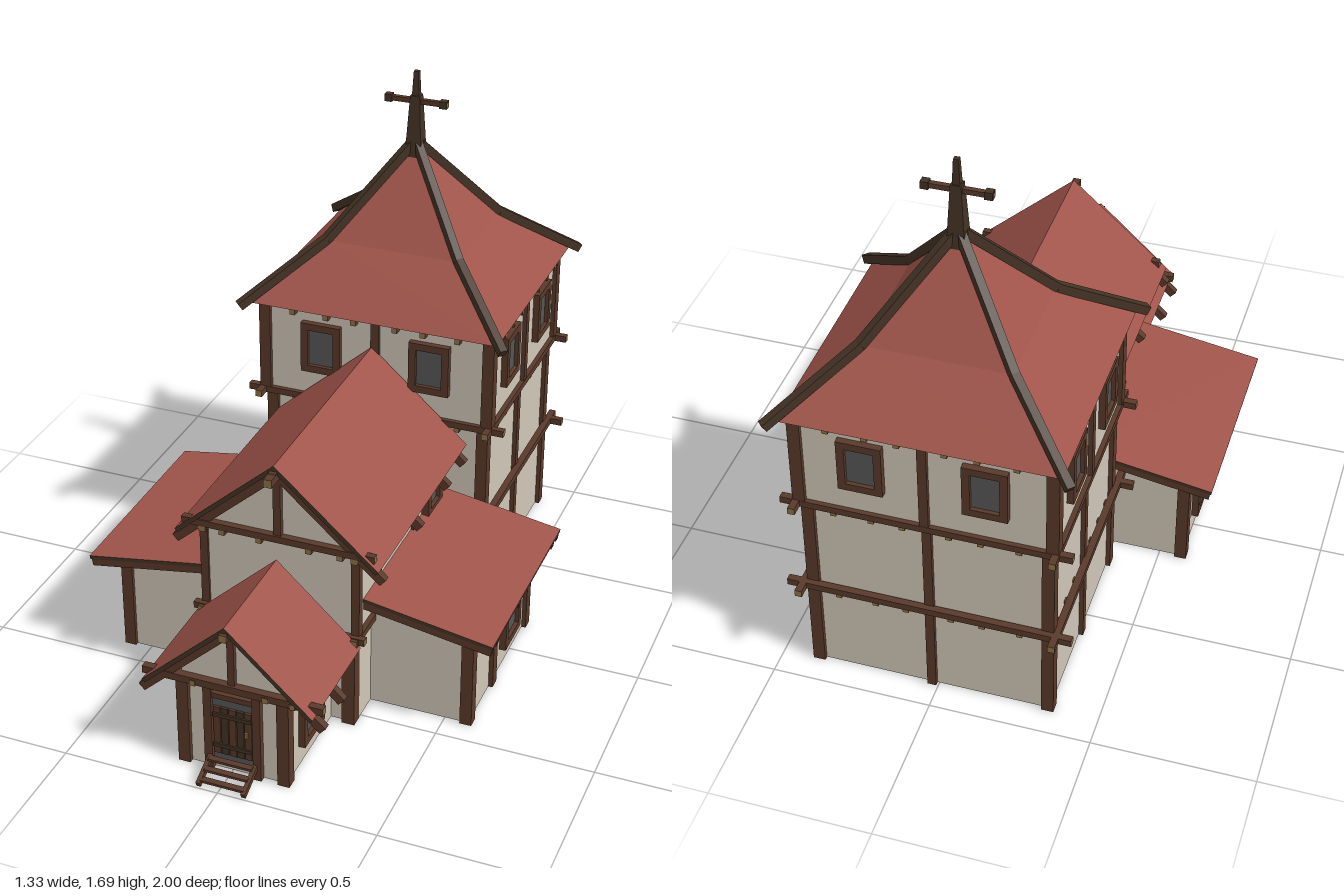
import * as THREE from 'three';

const mat = (name, color, side = THREE.FrontSide) => {
  const m = new THREE.MeshStandardMaterial({ color, side });
  m.name = name;
  return m;
};

export function createModel() {
  const plaster = mat('plaster', 0xd0c7b8, THREE.DoubleSide);
  const tile = mat('roof tile', 0xa0544a, THREE.DoubleSide);
  const wood = mat('timber', 0x5a3a2b);
  const dark = mat('dark timber', 0x443325);
  const endGrain = mat('end grain', 0x8f7346);
  const glass = mat('glass', 0x555756);
  const model = new THREE.Group();
  model.name = 'timberFramedChurch';

  const add = (name, geo, material, parent = model) => {
    const m = new THREE.Mesh(geo, material);
    m.name = name;
    parent.add(m);
    return m;
  };
  const box = (name, material, x, y, z, w, h, d, parent = model) => {
    const m = add(name, new THREE.BoxGeometry(w, h, d), material, parent);
    m.position.set(x, y, z);
    return m;
  };
  // Horizontal beams with pale sawn ends
  const beamX = (name, x0, x1, y, z, t = 0.022) => box(name,
    [endGrain, endGrain, wood, wood, wood, wood], (x0 + x1) / 2, y, z, x1 - x0, t, t);
  const beamZ = (name, z0, z1, y, x, t = 0.022) => box(name,
    [wood, wood, wood, wood, endGrain, endGrain], x, y, (z0 + z1) / 2, t, t, z1 - z0);
  const post = (x, z, y0, y1, t = 0.038) => box('post', wood, x, (y0 + y1) / 2, z, t, y1 - y0, t);
  // Beam between two points
  const bar = (name, a, b, w, h, material = wood) => {
    const p = new THREE.Vector3(...a), q = new THREE.Vector3(...b);
    const m = add(name, new THREE.BoxGeometry(w, h, p.distanceTo(q)), material);
    m.position.copy(p).lerp(q, 0.5);
    m.lookAt(q);
    return m;
  };
  // Walls extruded from a front outline, left open underneath
  const walls = (name, pts, z0, z1) => {
    const shape = new THREE.Shape(pts.map(p => new THREE.Vector2(...p)));
    const src = new THREE.ExtrudeGeometry(shape, { depth: z1 - z0, bevelEnabled: false });
    const pos = src.attributes.position, bottom = Math.min(...pts.map(p => p[1]));
    const keep = [];
    for (let i = 0; i < pos.count; i += 3) {
      if ([0, 1, 2].every(k => Math.abs(pos.getY(i + k) - bottom) < 1e-5)) continue;
      for (let k = 0; k < 3; k++) keep.push(pos.getX(i + k), pos.getY(i + k), pos.getZ(i + k) + z0);
    }
    const geo = new THREE.BufferGeometry();
    geo.setAttribute('position', new THREE.Float32BufferAttribute(keep, 3));
    geo.computeVertexNormals();
    return add(name, geo, plaster);
  };
  const rect = (x0, x1, y0, y1) => [[x0, y0], [x1, y0], [x1, y1], [x0, y1]];
  // Sloping roof plate, tiled on top and timber beneath; x0 < x1
  const slope = (name, x0, y0, x1, y1, z0, z1, t = 0.014) => {
    const a = Math.atan2(y1 - y0, x1 - x0);
    const m = box(name, [tile, tile, tile, wood, dark, dark],
      (x0 + x1) / 2 + Math.sin(a) * t / 2, (y0 + y1) / 2 - Math.cos(a) * t / 2, (z0 + z1) / 2,
      Math.hypot(x1 - x0, y1 - y0), t, z1 - z0);
    m.rotation.z = a;
    return m;
  };
  // Framed window facing +z before turning
  const windowAt = (x, y, z, turn, w = 0.135, h = 0.175) => {
    const g = new THREE.Group();
    g.name = 'window';
    const f = 0.024;
    box('pane', glass, 0, 0, 0.003, w - f, h - f, 0.008, g);
    for (const s of [-1, 1]) {
      box('frame', wood, s * (w - f) / 2, 0, 0.005, f, h, 0.03, g);
      box('frame', wood, 0, s * (h - f) / 2, 0.005, w, f, 0.03, g);
    }
    g.position.set(x, y, z);
    g.rotation.y = turn;
    model.add(g);
  };

  // Tower: two lower storeys and a slightly wider top storey
  const cx = 0.02, cz = -0.575;
  const storeys = [[0, 0.325, 0.383, 0.343], [0.325, 0.655, 0.383, 0.343], [0.655, 0.98, 0.4, 0.36]];
  for (const [y0, y1, hx, hz] of storeys) {
    const wx = hx - 0.014, wz = hz - 0.014;
    walls('towerWalls', rect(cx - wx, cx + wx, y0, y1), cz - wz, cz + wz);
    box('towerCeiling', wood, cx, y1 - 0.008, cz, 2 * wx - 0.01, 0.01, 2 * wz - 0.01);
    for (const s of [-1, 1]) {
      for (const t of [-1, 1]) post(cx + s * (hx - 0.019), cz + t * (hz - 0.019), y0, y1);
      post(cx, cz + s * (hz - 0.014), y0, y1, 0.028);
      post(cx + s * (hx - 0.014), cz, y0, y1, 0.028);
      // Joists reaching through the walls
      for (const o of [0.07, 0.165, 0.28]) beamZ('joist', cz - hz - 0.01, cz + hz + 0.01, y1 - 0.02, cx + s * o, 0.018);
      for (const o of [0.09, 0.18, 0.265]) beamX('joist', cx - hx - 0.01, cx + hx + 0.01, y1 - 0.021, cz + s * o, 0.018);
      if (y1 < 0.9) {
        beamX('girdingBeam', cx - 0.44, cx + 0.44, y1, cz + s * 0.35);
        beamZ('girdingBeam', cz - 0.4, cz + 0.4, y1, cx + s * 0.39);
      }
    }
  }
  for (const s of [-1, 1]) {
    for (const o of [-0.185, 0.185]) windowAt(cx + o, 0.84, cz + s * 0.347, s > 0 ? 0 : Math.PI);
    for (const o of [-0.17, 0.165]) windowAt(cx + s * 0.387, 0.84, cz + o, s * Math.PI / 2);
  }

  // Flared tower roof with hip timbers and spire
  const ring = [[0.418, 0.98], [0.222, 1.155], [0.004, 1.44]];
  const roof = new THREE.LatheGeometry(ring.map(([r, y]) => new THREE.Vector2(r * Math.SQRT2, y)), 4, Math.PI / 4)
    .toNonIndexed();
  roof.scale(1, 1, 0.933);
  roof.computeVertexNormals();
  add('towerRoof', roof, tile).position.set(cx, 0, cz);
  box('towerSoffit', wood, cx, 0.982, cz, 0.82, 0.008, 0.76);
  for (const s of [-1, 1]) for (const t of [-1, 1]) {
    const p = [[0.445, 0.975], [0.224, 1.16], [0.008, 1.45]].map(([r, y]) => [cx + s * r, y, cz + t * r * 0.935]);
    bar('hipTimber', p[0], p[1], 0.026, 0.028, dark);
    bar('hipTimber', p[1], p[2], 0.026, 0.028, dark);
  }
  const spire = (y0, y1, r0, r1) => {
    const g = new THREE.CylinderGeometry(r1 * Math.SQRT2, r0 * Math.SQRT2, y1 - y0, 4, 1, false, Math.PI / 4).toNonIndexed();
    g.computeVertexNormals();
    add('spire', g, dark).position.set(cx, (y0 + y1) / 2, cz);
  };
  spire(1.4, 1.61, 0.028, 0.016);
  spire(1.6, 1.69, 0.012, 0.008);
  beamX('spireCrossbar', cx - 0.105, cx + 0.105, 1.59, cz, 0.016);
  for (const s of [-1, 1]) box('crossbarEnd', dark, cx + s * 0.092, 1.59, cz, 0.024, 0.024, 0.024);

  // Gabled roof: two slopes, ridge beam and rafter pairs
  const gable = (name, x, half, top, eave, z0, z1, foot, frames) => {
    slope(name, x - half, eave, x, top, z0, z1);
    slope(name, x, top, x + half, eave, z0, z1);
    beamZ('ridgeBeam', z0, z1 + 0.012, top - 0.03, x, 0.024);
    const k = (top - eave) / half, apex = top - 0.038;
    for (const z of frames) for (const s of [-1, 1])
      bar('rafter', [x, apex, z], [x + s * foot, apex - foot * k, z], 0.024, 0.028);
  };

  // Nave
  const nx = 0.01;
  walls('naveWalls', [[-0.235, 0], [0.255, 0], [0.255, 0.62], [nx, 0.835], [-0.235, 0.62]], -0.24, 0.54);
  box('naveCeiling', wood, nx, 0.318, 0.15, 0.48, 0.01, 0.77);
  gable('naveRoof', nx, 0.328, 0.88, 0.59, -0.22, 0.575, 0.335, [0.547, 0.23, -0.02, -0.175]);
  beamZ('ridgeBeam', 0.5, 0.62, 0.845, nx, 0.026);
  beamX('gableTie', -0.3, 0.32, 0.62, 0.552);
  beamX('gableTie', -0.27, 0.29, 0.318, 0.552);
  post(nx, 0.545, 0.62, 0.835, 0.024);
  for (const z of [-0.1, 0.02, 0.1, 0.18, 0.26, 0.34, 0.45]) {
    beamX('naveJoist', nx - 0.262, nx + 0.262, 0.575, z, 0.018);
    beamX('floorJoist', nx - 0.24, nx + 0.24, 0.303, z, 0.018);
  }
  for (const o of [-0.18, -0.06, 0.1, 0.2]) beamZ('tieJoist', 0.5, 0.56, 0.6, nx + o, 0.018);
  for (const s of [-1, 1]) {
    post(nx + s * 0.225, 0.535, 0, 0.315, 0.042);
    post(nx + s * 0.245, 0.535, 0.31, 0.64, 0.026);
    post(nx + s * 0.242, 0.362, 0.33, 0.64, 0.024);
    post(nx + s * 0.242, 0.055, 0.33, 0.64, 0.024);
    beamZ('wallPlate', -0.22, 0.56, 0.6, nx + s * 0.245);
    beamZ('sill', -0.2, 0.575, 0.315, nx + s * 0.25);
    windowAt(nx + s * 0.25, 0.49, -0.095, s * Math.PI / 2, 0.13, 0.17);
  }

  // Lean-to wings, mirrored
  for (const s of [-1, 1]) {
    const pts = [[0.23, 0], [0.575, 0], [0.575, 0.325], [0.23, 0.39]].map(([x, y]) => [s * x, y]);
    walls('wingWalls', pts, -0.155, 0.415);
    if (s < 0) slope('wingRoof', -0.668, 0.35, -0.24, 0.42, -0.213, 0.483, 0.012);
    else slope('wingRoof', 0.25, 0.42, 0.665, 0.35, -0.213, 0.483, 0.012);
    for (const z of [0.47, 0.415, 0.2, -0.15, -0.2])
      bar('wingRafter', [s * 0.25, 0.395, z], [s * 0.66, 0.327, z], 0.022, 0.024);
    for (const z of [0.408, 0.198, -0.148]) post(s * 0.57, z, 0, 0.325);
    beamZ('wingPlate', -0.19, 0.45, 0.33, s * 0.575, 0.024);
    beamZ('wingPurlin', -0.17, 0.43, 0.35, s * 0.5, 0.02);
    for (const z of [0.32, 0.27, 0.12, 0.03, -0.07])
      beamX('wingJoist', Math.min(s * 0.23, s * 0.592), Math.max(s * 0.23, s * 0.592), 0.315, z, 0.016);
    windowAt(s * 0.577, 0.168, 0.038, s * Math.PI / 2, 0.155, 0.188);
  }

  // Porch
  walls('porchWalls', [[-0.158, 0], [0.173, 0], [0.173, 0.345], [0.008, 0.5], [-0.158, 0.345]], 0.54, 0.885);
  box('porchCeiling', wood, 0.008, 0.318, 0.71, 0.32, 0.01, 0.33);
  gable('porchRoof', 0.008, 0.27, 0.548, 0.298, 0.56, 0.938, 0.288, [0.895, 0.75]);
  beamX('porchTie', -0.275, 0.298, 0.31, 0.897, 0.024);
  post(0.008, 0.89, 0.32, 0.5, 0.022);
  for (const o of [-0.12, 0.11, 0.195]) beamZ('porchJoist', 0.56, 0.912, 0.305, 0.008 + o, 0.018);
  for (const s of [-1, 1]) {
    post(0.008 + s * 0.16, 0.882, 0, 0.31);
    beamZ('porchPlate', 0.55, 0.9, 0.31, 0.008 + s * 0.165);
    windowAt(0.008 + s * 0.166, 0.165, 0.717, s * Math.PI / 2, 0.155, 0.19);
    post(0.008 + s * 0.078, 0.892, 0, 0.3, 0.026);
  }

  // Door with planks, bands and a light above
  box('doorLight', glass, 0.008, 0.15, 0.888, 0.13, 0.22, 0.008);
  for (let i = 0; i < 5; i++) box('doorPlank', i % 2 ? dark : wood, -0.042 + i * 0.025, 0.147, 0.894, 0.022, 0.168, 0.012);
  for (const y of [0.095, 0.205]) box('doorBand', dark, 0.008, y, 0.901, 0.125, 0.012, 0.008);
  box('doorHandle', endGrain, 0.053, 0.155, 0.903, 0.008, 0.02, 0.008);
  box('doorLintel', wood, 0.008, 0.27, 0.89, 0.13, 0.018, 0.02);

  // Entrance steps
  for (const s of [-1, 1]) bar('stairStringer', [0.008 + s * 0.072, 0.05, 0.895], [0.008 + s * 0.072, 0.008, 0.995], 0.014, 0.018);
  for (let i = 0; i < 3; i++) box('stairTread', wood, 0.008, 0.052 - i * 0.017, 0.92 + i * 0.03, 0.14, 0.008, 0.02);

  return model;
}
